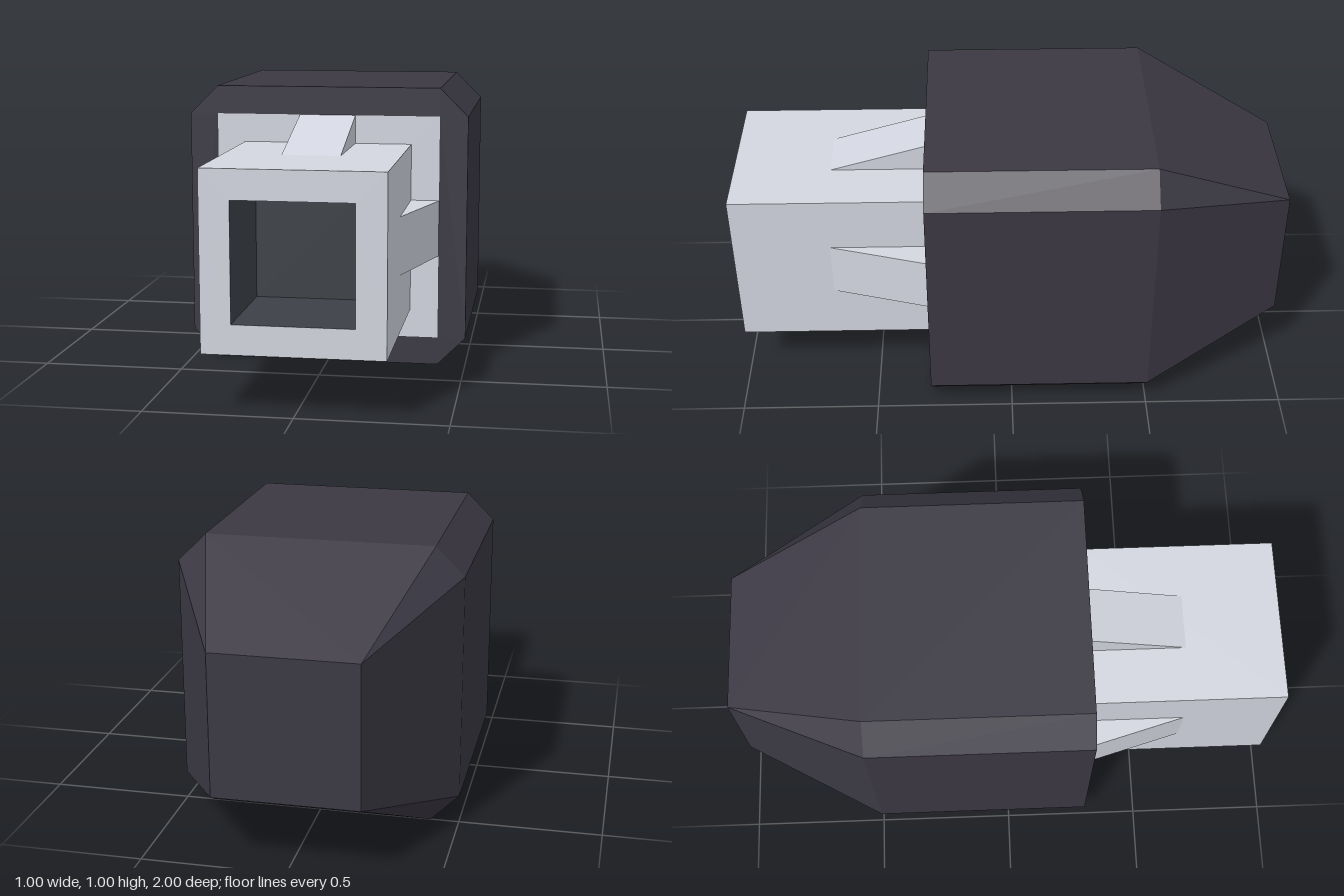
import * as THREE from 'three';
import { ConvexGeometry } from 'three/addons/geometries/ConvexGeometry.js';

const mat = (color, side = THREE.FrontSide) =>
  new THREE.MeshStandardMaterial({ color, side, flatShading: true });

const square = (h) => [[-h, -h], [h, -h], [h, h], [-h, h]];
const octagon = (h, c) => [
  [-c, -h], [c, -h], [h, -c], [h, c], [c, h], [-c, h], [-h, c], [-h, -c],
];
const toVec2 = (pts) => pts.map(([x, y]) => new THREE.Vector2(x, y));

// Flat outline with a square opening
function ringShape(outline, hole) {
  const shape = new THREE.Shape(toVec2(outline));
  shape.holes.push(new THREE.Path(toVec2(square(hole)).reverse()));
  return shape;
}

// Open square tube along z, given its half width
function squareTube(half, z0, z1) {
  const r = half * Math.SQRT2;
  return new THREE.CylinderGeometry(r, r, z1 - z0, 4, 1, true)
    .rotateY(Math.PI / 4)
    .rotateX(Math.PI / 2)
    .translate(0, 0, (z0 + z1) / 2);
}

export function createModel() {
  const model = new THREE.Group();
  model.name = 'model';
  const core = new THREE.Group();
  core.name = 'core';
  core.position.y = 0.5;
  model.add(core);

  const dark = mat(0x3b3843);
  const light = mat(0xd3d6e0);
  const inner = mat(0x3c4147, THREE.DoubleSide);

  const add = (name, geometry, material, parent = core) => {
    const mesh = new THREE.Mesh(geometry, material);
    mesh.name = name;
    parent.add(mesh);
    return mesh;
  };

  // Chamfered housing, open at the front for the panel
  const housing = new THREE.ExtrudeGeometry(ringShape(octagon(0.5, 0.4), 0.4), {
    depth: 0.8, bevelEnabled: false,
  }).translate(0, 0, -0.5);
  add('housing', housing, dark);

  // Rear taper from the octagon down to a square
  const tail = [
    ...octagon(0.5, 0.4).map(([x, y]) => new THREE.Vector3(x, y, -0.5)),
    ...square(0.25).map(([x, y]) => new THREE.Vector3(x, y, -1)),
  ];
  add('rearTaper', new ConvexGeometry(tail), dark);

  // Flush front panel
  add('frontPanel', new THREE.PlaneGeometry(0.8, 0.8).translate(0, 0, 0.3), light);

  // Square barrel with its rim and dark bore
  add('barrel', squareTube(0.3, 0.3, 1), light);
  add('barrelRim', new THREE.ShapeGeometry(ringShape(square(0.3), 0.2)).translate(0, 0, 1), light);
  add('bore', squareTube(0.2, 0.6, 1), inner);
  add('boreEnd', new THREE.PlaneGeometry(0.4, 0.4).translate(0, 0, 0.6), inner);

  // Wedge braces on the four sides of the barrel
  const wedge = new THREE.Shape(toVec2([[0.3, 0.3], [0.65, 0.3], [0.3, 0.4]]));
  const brace = new THREE.ExtrudeGeometry(wedge, { depth: 0.2, bevelEnabled: false })
    .translate(0, 0, -0.1)
    .rotateY(-Math.PI / 2);
  ['braceTop', 'braceRight', 'braceBottom', 'braceLeft'].forEach((name, i) => {
    add(name, brace, light).rotation.z = (i * Math.PI) / 2;
  });

  return model;
}
